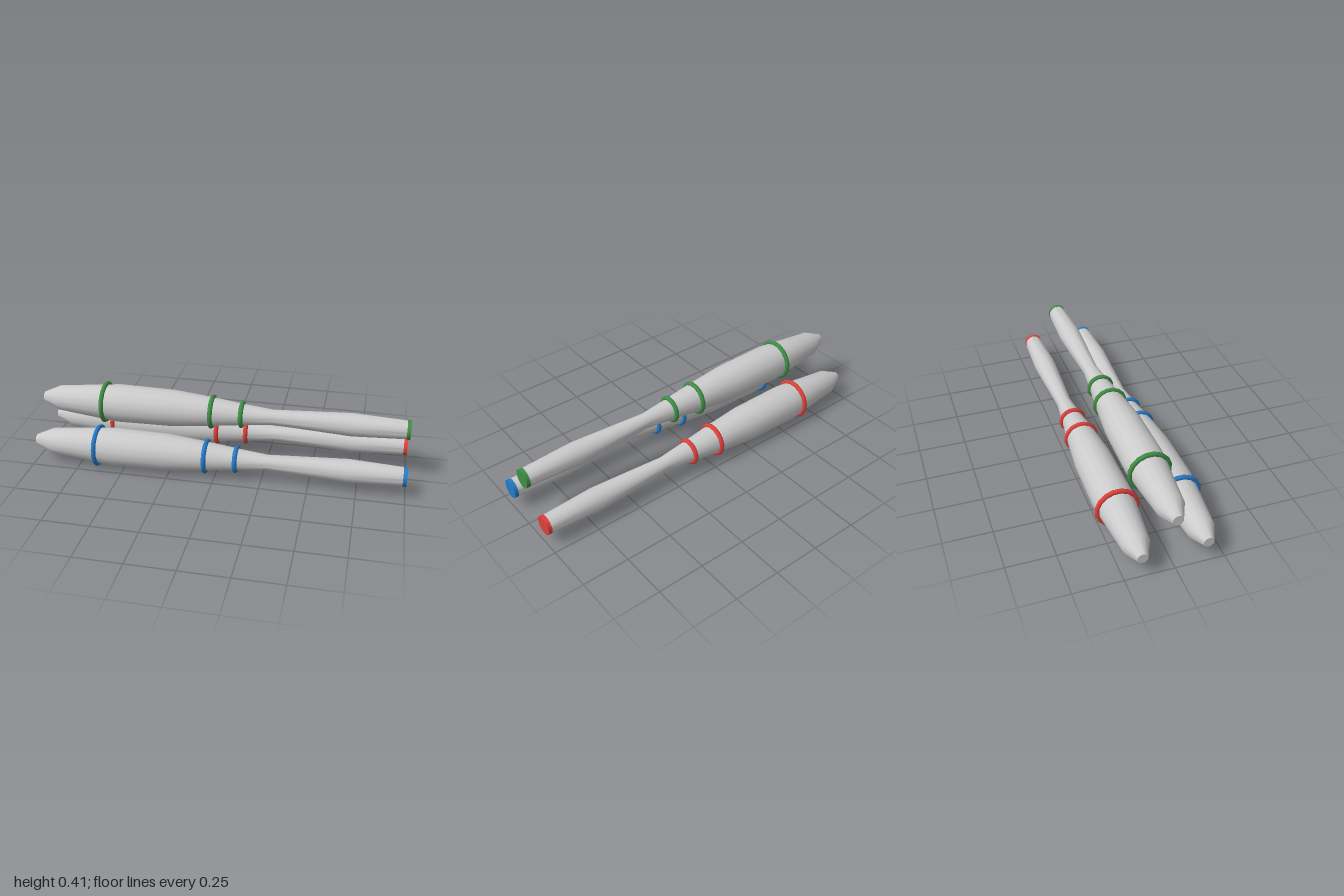
import * as THREE from 'three';
import { toCreasedNormals } from 'three/addons/utils/BufferGeometryUtils.js';

const SIDES = 16;
const HALF_STEP = Math.PI / SIDES; // puts a flat facet at the top

// Club outline from tip to handle end: [x, radius]
const PROFILE = [
  [-1, 0], [-1, 0.027], [-0.91, 0.069], [-0.57, 0.104], [-0.27, 0.1], [-0.05, 0.079],
  [0.12, 0.058], [0.28, 0.041], [0.7, 0.062], [0.985, 0.049],
];

// Decorative rings: [x, centre-line radius]
const RINGS = [[-0.643, 0.102], [-0.047, 0.081], [0.115, 0.062]];
const RING_TUBE = 0.0127;

// Turns a shape standing along y so that it lies along x
const layAlongX = (geometry) => geometry.rotateY(HALF_STEP).rotateZ(-Math.PI / 2);

function createClub(color) {
  const club = new THREE.Group();
  const grey = new THREE.MeshStandardMaterial({ color: 0xcccccc });
  const tint = new THREE.MeshStandardMaterial({ color });
  const add = (name, geometry, material, x = 0) => {
    const mesh = new THREE.Mesh(geometry, material);
    mesh.name = name;
    mesh.position.x = x;
    club.add(mesh);
  };

  // Turned body with handle
  const points = PROFILE.map(([x, r]) => new THREE.Vector2(r, x));
  const body = layAlongX(new THREE.LatheGeometry(points, SIDES));
  add('body', toCreasedNormals(body, 0.7), grey);

  // Coloured bands
  RINGS.forEach(([x, r], i) => {
    const ring = new THREE.TorusGeometry(r, RING_TUBE, 8, SIDES);
    add(`ring${i + 1}`, ring.rotateZ(HALF_STEP).rotateY(Math.PI / 2), tint, x);
  });

  // Handle end cap
  add('endCap', layAlongX(new THREE.CylinderGeometry(0.051, 0.051, 0.02, SIDES)), tint, 0.99);
  return club;
}

export function createModel() {
  const model = new THREE.Group();
  model.name = 'jugglingClubs';
  // Two clubs below, one resting on top
  const clubs = [
    ['topClub', 0x3f8f45, 0.297, 0],
    ['frontClub', 0x257cca, 0.1125, 0.1625],
    ['backClub', 0xe0403a, 0.1125, -0.1625],
  ];
  for (const [name, color, y, z] of clubs) {
    const club = createClub(color);
    club.name = name;
    club.position.set(0, y, z);
    model.add(club);
  }
  return model;
}
